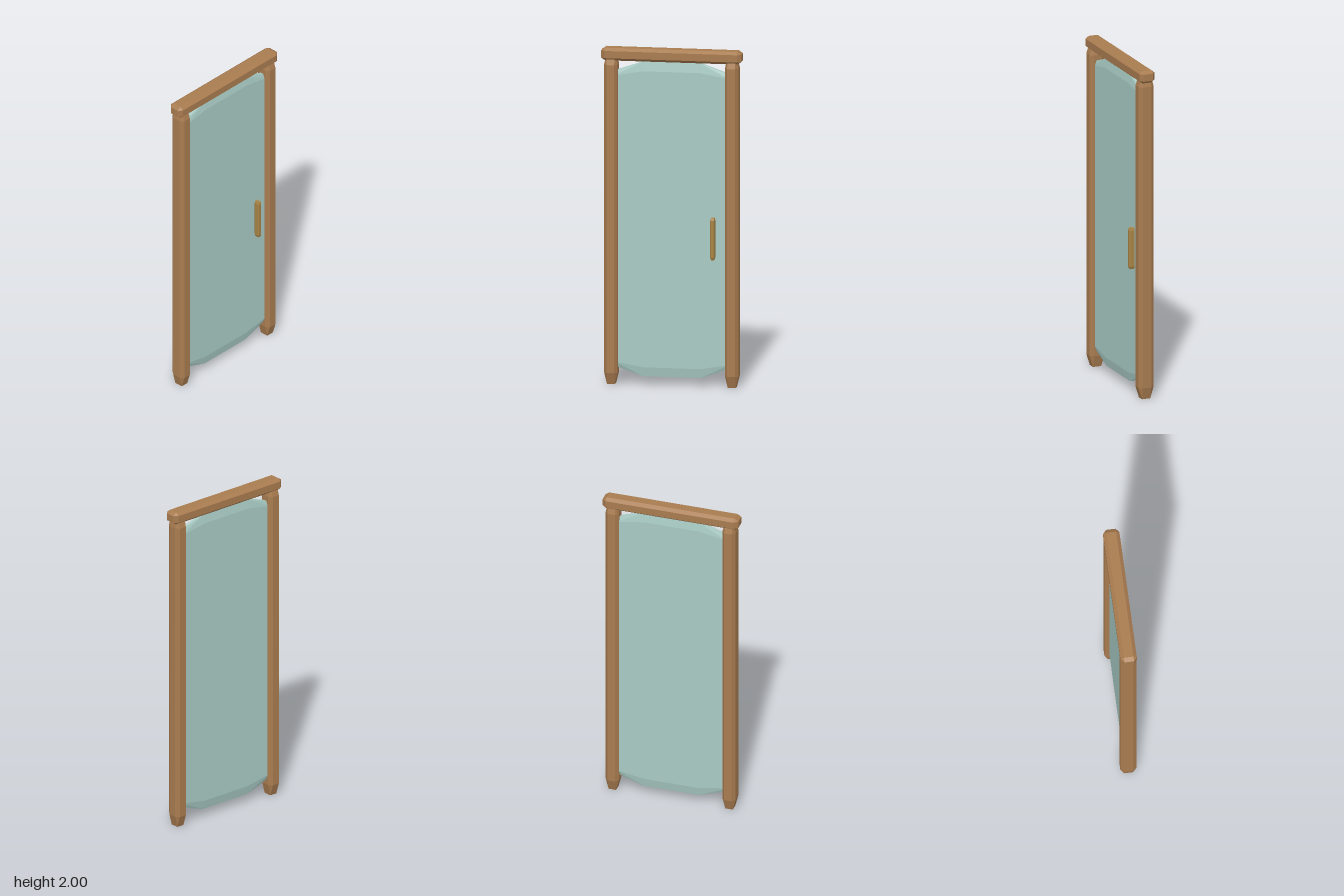
import * as THREE from 'three';
import { ConvexGeometry } from 'three/addons/geometries/ConvexGeometry.js';

const material = (color) => new THREE.MeshStandardMaterial({ color, flatShading: true });
const SIGNS = [-1, 1];

// Box with half sizes h, whose edges are cut back by c along each axis
function chamferedBox(h, c) {
  const points = [];
  for (const sx of SIGNS) for (const sy of SIGNS) for (const sz of SIGNS) {
    for (let face = 0; face < 3; face++) {
      const p = h.map((v, axis) => (axis === face ? v : v - c[axis]));
      points.push(new THREE.Vector3(sx * p[0], sy * p[1], sz * p[2]));
    }
  }
  return new ConvexGeometry(points);
}

// Thin pane with clipped corners and a bevelled rim.
// Each level: [half width, half height, corner run, corner rise, half depth]
function paneGeometry(levels) {
  const points = [];
  for (const [w, h, run, rise, d] of levels) {
    for (const sx of SIGNS) for (const sy of SIGNS) for (const sz of SIGNS) {
      points.push(new THREE.Vector3(sx * w, sy * (h - rise), sz * d));
      points.push(new THREE.Vector3(sx * (w - run), sy * h, sz * d));
    }
  }
  return new ConvexGeometry(points);
}

export function createModel() {
  const model = new THREE.Group();
  model.name = 'door';
  const wood = material(0xa97c50);
  const glass = material(0xa9cbc4);
  const brass = material(0xa98445);

  const add = (name, geometry, mat, x, y, z) => {
    const mesh = new THREE.Mesh(geometry, mat);
    mesh.name = name;
    mesh.position.set(x, y, z);
    model.add(mesh);
  };

  // Side posts with tapered ends
  const post = chamferedBox([0.04, 0.985, 0.048], [0.017, 0.07, 0.022]);
  add('leftPost', post, wood, 0.357, 0.985, -0.003);
  add('rightPost', post, wood, -0.357, 0.985, -0.003);

  // Top beam
  add('lintel', chamferedBox([0.415, 0.0375, 0.048], [0.024, 0.016, 0.02]), wood, 0, 1.9625, -0.003);

  // Door pane set between the posts
  const pane = paneGeometry([
    [0.35, 0.935, 0.18, 0.062, 0.01],
    [0.34, 0.88, 0.17, 0.03, 0.02],
  ]);
  add('doorPane', pane, glass, 0, 0.985, -0.003);

  // Pull handle on the front
  add('handle', chamferedBox([0.0135, 0.125, 0.018], [0.005, 0.015, 0.006]), brass, 0.247, 0.885, 0.032);

  return model;
}
